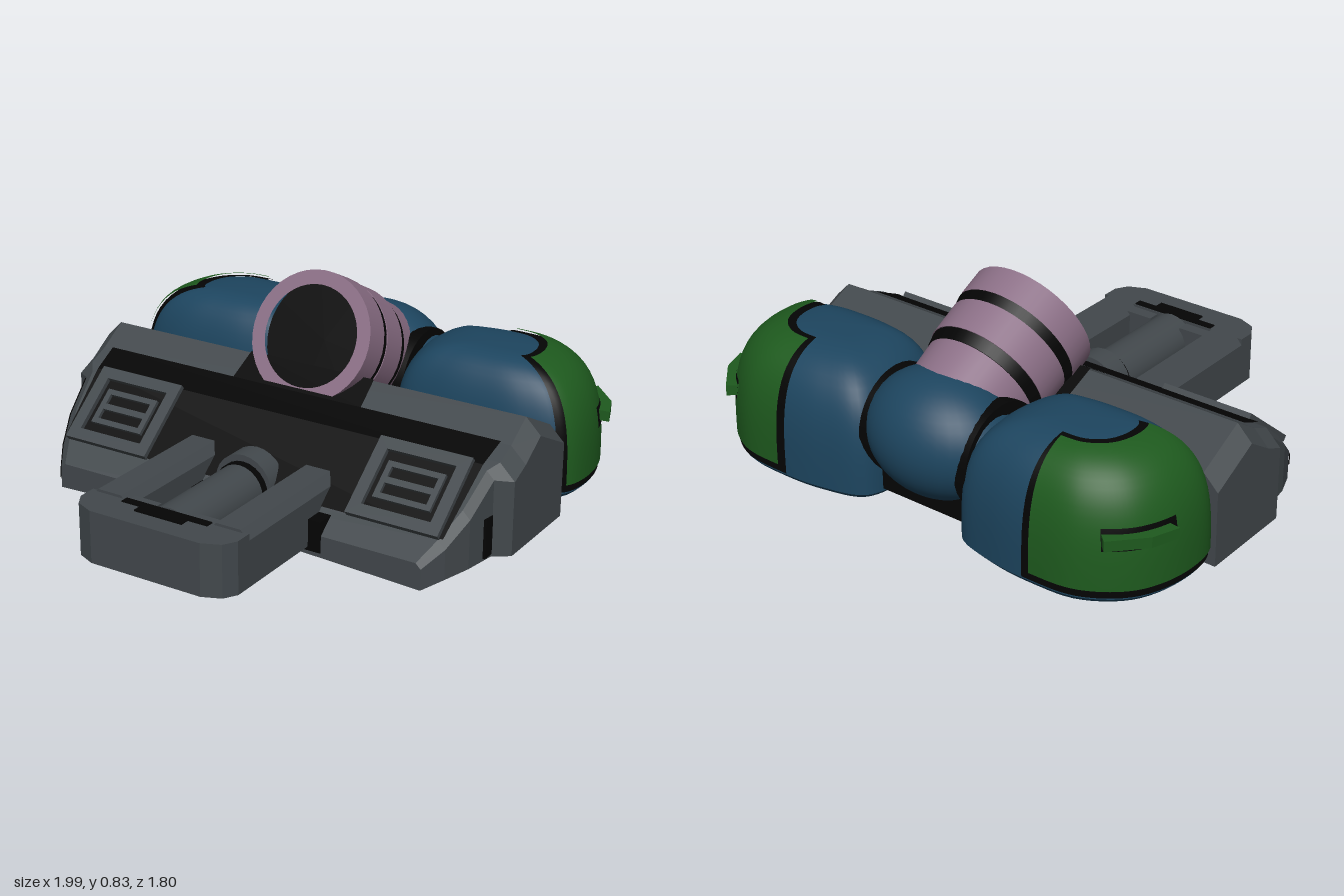
import * as THREE from 'three';

const mat = (name, color) => Object.assign(new THREE.MeshStandardMaterial({ color }), { name });

export function createModel() {
  const root = new THREE.Group();
  root.name = 'vehicle';
  const gray = mat('hull gray', 0x42484c), black = mat('seam black', 0x040404);
  const blue = mat('pod blue', 0x1d455f), green = mat('armour green', 0x1e5a1e);
  const pink = mat('barrel mauve', 0x8b6f86);

  const add = (name, geo, m, x = 0, y = 0, z = 0, parent = root) => {
    const mesh = new THREE.Mesh(geo, m);
    mesh.name = name;
    mesh.position.set(x, y, z);
    parent.add(mesh);
    return mesh;
  };
  const box = (w, h, d) => new THREE.BoxGeometry(w, h, d);
  const poly = pts => new THREE.Shape(pts.map(p => new THREE.Vector2(p[0], p[1])));
  const extrude = (shape, depth) => new THREE.ExtrudeGeometry(shape, { depth, bevelEnabled: false });

  // Surface from a rule fn(i, j) over a grid of points
  function grid(fn, nu, nv, flip = false, flat = false) {
    const pos = [], idx = [];
    for (let j = 0; j <= nv; j++) for (let i = 0; i <= nu; i++) pos.push(...fn(i, j));
    for (let j = 0; j < nv; j++) for (let i = 0; i < nu; i++) {
      const a = j * (nu + 1) + i, b = a + 1, d = a + nu + 1, c = d + 1;
      idx.push(...(flip ? [a, c, b, a, d, c] : [a, b, c, a, c, d]));
    }
    let g = new THREE.BufferGeometry();
    g.setAttribute('position', new THREE.Float32BufferAttribute(pos, 3));
    g.setIndex(idx);
    if (flat) g = g.toNonIndexed();
    g.computeVertexNormals();
    return g;
  }

  // Hull: chamfered sections along z as [z, half width, bottom, top, chamfer]
  const stations = [
    [-0.36, 0.95, 0.03, 0.38, 0.06], [-0.16, 0.95, 0.03, 0.48, 0.06], [-0.05, 0.95, 0.03, 0.41, 0.06],
    [0.03, 0.95, 0.03, 0.375, 0.06], [0.07, 0.89, 0.03, 0.352, 0.03], [0.2, 0.87, 0.03, 0.247, 0.03],
    [0.3, 0.83, 0.02, 0.165, 0.03], [0.38, 0.78, 0, 0.1, 0.02],
  ];
  const section = ([, w, b, t, c]) =>
    [[-w, b], [0, 0.03], [w, b], [w, t - c], [w - c, t], [c - w, t], [-w, t - c]];
  add('hull', grid((i, j) => [...section(stations[j])[i % 7], stations[j][0]], 7, 7, false, true), gray);
  add('hullNose', new THREE.ShapeGeometry(poly(section(stations[7]))), gray, 0, 0, 0.38);
  add('hullBack', new THREE.ShapeGeometry(poly(section(stations[0]))).rotateY(Math.PI), gray, 0, 0, -0.36);

  // Dark strips laid over the hull: rows of [z, y, half width]
  const strip = (name, rows) =>
    add(name, grid((i, j) => [(i * 2 - 1) * rows[j][2], rows[j][1], rows[j][0]], 1, rows.length - 1, true, true), black);
  strip('deckPanel', [[-0.05, 0.417, 0.85], [0.06, 0.367, 0.84], [0.3, 0.172, 0.82]]);
  strip('barrelSeat', [[-0.36, 0.386, 0.26], [-0.16, 0.486, 0.27], [-0.05, 0.416, 0.28]]);
  add('noseRecess', box(0.76, 0.12, 0.12), black, 0, 0.095, 0.326);
  add('bellyPanel', box(1.6, 0.008, 0.5), black, 0, 0.028, -0.06);
  for (const side of [1, -1]) {
    // Seams where the narrower front wing meets the hull side and deck
    add('wingEdgeSeam', grid((i, j) => {
      const [z, w, , t] = stations[4 + j];
      return [side * (w + 0.005), t - (i ? 0.03 : 0.08), z];
    }, 1, 3, side > 0), black);
    add('wingRootSeam', box(0.012, 0.15, 0.05), black, side * 0.886, 0.115, 0.095);
  }

  // Hatches lying on the slope
  const frame = (w, h, t, d) => {
    const s = poly([[-w, -h], [w, -h], [w, h], [-w, h]]);
    s.holes.push(poly([[t - w, t - h], [t - w, h - t], [w - t, h - t], [w - t, t - h]]));
    return extrude(s, d);
  };
  for (const side of [1, -1]) {
    const hatch = new THREE.Group();
    hatch.name = 'hatch';
    hatch.position.set(0.62 * side, 0.266, 0.175);
    hatch.rotation.x = -0.889;
    root.add(hatch);
    add('hatchFrame', frame(0.185, 0.16, 0.046, 0.025), gray, 0, 0, 0, hatch);
    add('hatchGrille', frame(0.115, 0.075, 0.022, 0.02), gray, 0, 0, 0, hatch);
    add('hatchBar', box(0.2, 0.025, 0.02), gray, 0, 0, 0.01, hatch);
  }

  // Forward cradle: rails, end block, floor and piston
  const rail = poly([[-0.08, 0.05], [0.08, 0.05], [0.08, 0.225], [0.05, 0.26], [-0.05, 0.26], [-0.08, 0.225]]);
  for (const side of [1, -1]) {
    add('cradleRail', extrude(rail, 0.6), gray, 0.25 * side, 0, 0.16);
    add('cradleTab', box(0.12, 0.16, 0.06), gray, 0.13 * side, 0.16, 0.73);
  }
  const plan = poly([[-0.33, -0.75], [-0.33, -0.82], [-0.3, -0.87], [-0.23, -0.9],
    [0.23, -0.9], [0.3, -0.87], [0.33, -0.82], [0.33, -0.75]]);
  add('cradleEnd', extrude(plan, 0.2).rotateX(-Math.PI / 2), gray, 0, 0.05, 0);
  add('endSeam', box(0.36, 0.008, 0.03), black, 0, 0.251, 0.768);
  add('endSlot', box(0.2, 0.008, 0.05), black, 0, 0.251, 0.795);
  add('cradleFloor', box(0.36, 0.07, 0.6), black, 0, 0.105, 0.46);
  add('cradleUnderside', box(0.5, 0.008, 0.45), black, 0, 0.048, 0.62);
  const rod = (name, r, z0, z1, y, m) =>
    add(name, new THREE.CylinderGeometry(r, r, z1 - z0, 24).rotateX(Math.PI / 2), m, 0, y, (z0 + z1) / 2);
  rod('piston', 0.1, 0.21, 0.75, 0.16, gray);
  rod('pistonCollar', 0.12, 0.21, 0.3, 0.17, gray);
  rod('pistonSeam', 0.105, 0.3, 0.325, 0.16, black);

  // Tilted banded barrel, its open mouth at the group's origin
  const barrel = new THREE.Group();
  barrel.name = 'barrel';
  barrel.position.set(0, 0.605, -0.15);
  barrel.rotation.x = 1.126;
  root.add(barrel);
  const band = (name, r0, r1, top, len, m, open = false) =>
    add(name, new THREE.CylinderGeometry(r0, r1, len, 40, 1, open), m, 0, top - len / 2, 0, barrel);
  band('muzzleBand', 0.25, 0.249, 0, 0.115, pink, true);
  add('muzzleRim', new THREE.RingGeometry(0.195, 0.25, 40).rotateX(-Math.PI / 2), pink, 0, 0, 0, barrel);
  const bore = new THREE.CylinderGeometry(0.195, 0.195, 0.11, 40, 1, true).scale(-1, 1, 1);
  bore.index.array.reverse();
  bore.computeVertexNormals();
  add('bore', bore, black, 0, -0.055, 0, barrel);
  band('frontSeam', 0.248, 0.238, -0.11, 0.05, black);
  band('middleBand', 0.242, 0.238, -0.155, 0.13, pink);
  band('rearSeam', 0.236, 0.225, -0.28, 0.05, black);
  band('rearBand', 0.222, 0.212, -0.325, 0.165, pink);
  band('elbowSeam', 0.216, 0.212, -0.48, 0.06, black);

  // Central elbow behind the barrel
  add('elbow', new THREE.SphereGeometry(0.235, 36, 24).scale(1.25, 1, 1), blue, 0, 0.36, -0.65);
  add('elbowMount', box(0.4, 0.22, 0.42), black, 0, 0.22, -0.55);

  // Side pods: plan outline [x, z], domed upward toward its middle
  const outline = new THREE.CatmullRomCurve3([
    [0.57, -0.89], [0.75, -0.87], [0.9, -0.76], [0.965, -0.58], [0.94, -0.4], [0.8, -0.335], [0.6, -0.32],
    [0.4, -0.33], [0.25, -0.37], [0.19, -0.5], [0.18, -0.68], [0.22, -0.82], [0.38, -0.875],
  ].map(([x, z]) => new THREE.Vector3(x, 0, z)), true);
  const cx = 0.56, cz = -0.55;
  const podPoint = (side, k, a, grow) => {
    const p = outline.getPoint(((k + 13) % 13) / 13);
    const s = Math.pow(Math.max(0, Math.cos(a)), 0.6) * grow;
    const y = 0.1 + 0.47 * Math.pow(Math.max(0, Math.sin(a)), 0.6) * grow;
    return [side * (cx + (p.x - cx) * s), y, cz + (p.z - cz) * s];
  };
  // Patch of the pod between outline knots k0..k1 and rise angles a0..a1
  const patch = (side, k0, k1, a0, a1, grow, nu) => grid((i, j) => {
    const t = j / 20;
    return podPoint(side, k0 + (k1 - k0) * i / nu, a0 + (a1 - a0) * t * t * (3 - 2 * t), grow);
  }, nu, 20, side > 0);
  const ridge = [[0.995, 0.65], [0.957, 0.75], [0.85, 0.865], [0.78, 0.8], [0.88, 0.72], [0.92, 0.64]];

  for (const side of [1, -1]) {
    add('podDome', patch(side, 0, 13, 0, Math.PI / 2, 1, 72), blue);
    // Skirt and flat underside
    add('podBase', grid((i, j) => {
      const p = outline.getPoint((i % 72) / 72), s = [0, 0.95, 1][j];
      return [side * (cx + (p.x - cx) * s), j < 2 ? 0.08 : 0.1, cz + (p.z - cz) * s];
    }, 72, 2, side > 0, true), blue);
    add('armourSeam', patch(side, -0.17, 4.25, 0.001, 1.35, 1.012, 36), black);
    add('armourShell', patch(side, 0, 4, 0.014, 1.28, 1.03, 36), green);
    add('podSeam', new THREE.CylinderGeometry(0.2, 0.2, 0.05, 32).rotateZ(Math.PI / 2), black, side * 0.215, 0.33, -0.62);
    // Raised vent ridge and its dark surround on the outer rear corner
    add('ventRecess', patch(side, 1.4, 2.8, 0.21, 0.38, 1.036, 16), black);
    add('ventRidge', extrude(poly(ridge.map(([x, y]) => [side * x, y])), 0.04).rotateX(-Math.PI / 2), green, 0, 0.31, 0);
  }
  return root;
}
